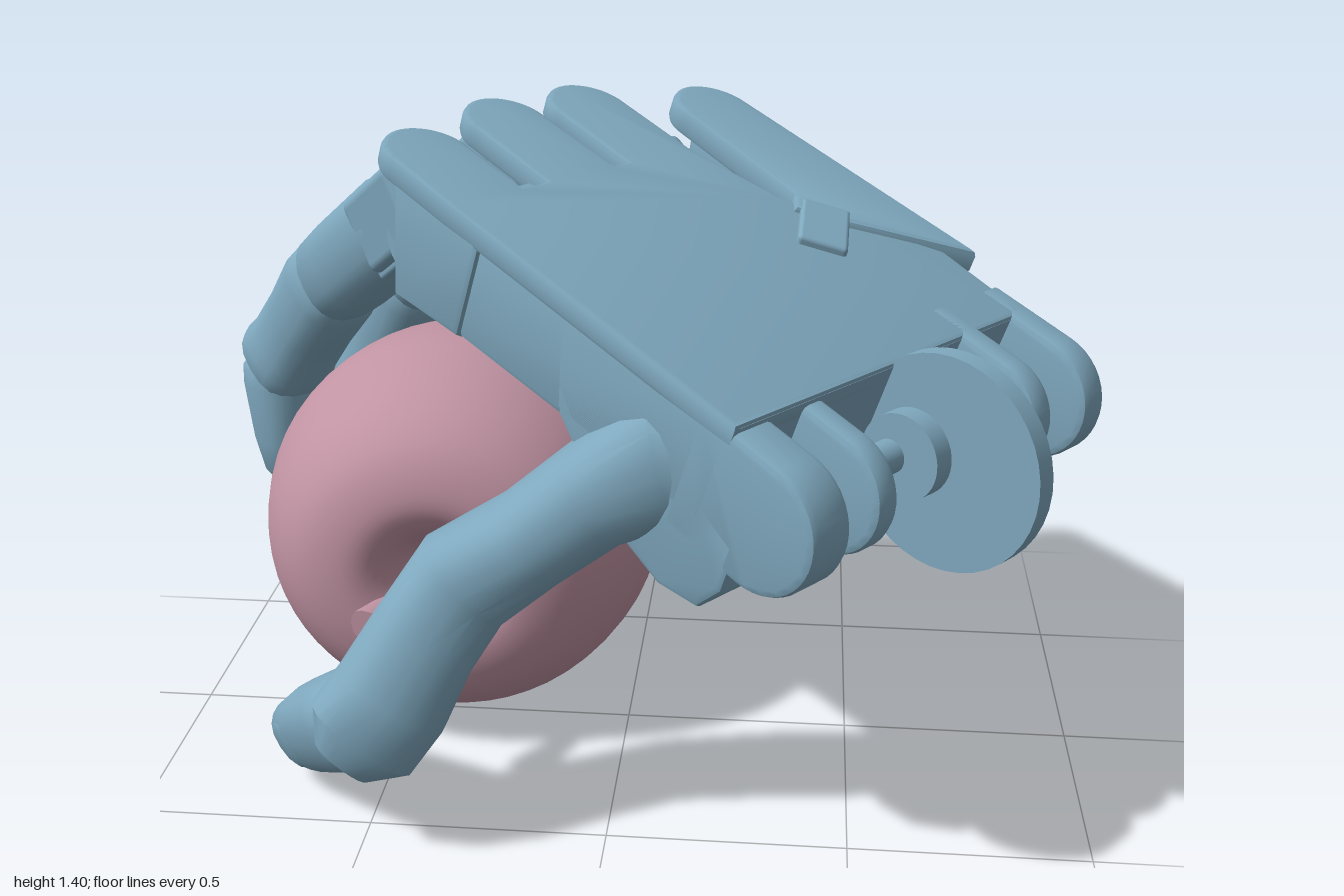
import * as THREE from 'three';
import { toCreasedNormals } from 'three/addons/utils/BufferGeometryUtils.js';
import { RoundedBoxGeometry } from 'three/addons/geometries/RoundedBoxGeometry.js';

const blue = new THREE.MeshStandardMaterial({ color: 0x7fa8be });
const pink = new THREE.MeshStandardMaterial({ color: 0xc093a2 });
const V = (p) => new THREE.Vector3(...p);

function add(parent, name, geo, pos = [0, 0, 0], mat = blue) {
  const mesh = new THREE.Mesh(geo, mat);
  mesh.name = name;
  mesh.position.set(...pos);
  parent.add(mesh);
  return mesh;
}

// Closed skin over boxy-oval rings; each ring is [centre, halfWidth, halfHeight]
function loft(rings, up, n = 20) {
  const pos = [], idx = [], c = rings.map((r) => V(r[0]));
  rings.forEach(([, w, h], i) => {
    const z = c[Math.min(i + 1, c.length - 1)].clone().sub(c[Math.max(i - 1, 0)]).normalize();
    const y = up.clone().addScaledVector(z, -up.dot(z)).normalize();
    const x = y.clone().cross(z);
    for (let j = 0; j < n; j++) {
      const t = (j / n) * Math.PI * 2, co = Math.cos(t), si = Math.sin(t);
      const p = c[i].clone()
        .addScaledVector(x, w * Math.sign(co) * Math.abs(co) ** 0.8)
        .addScaledVector(y, h * Math.sign(si) * Math.abs(si) ** 0.8);
      pos.push(p.x, p.y, p.z);
      if (i < rings.length - 1) {
        const a = i * n + j, b = i * n + (j + 1) % n;
        idx.push(a, b, b + n, a, b + n, a + n);
      }
    }
  });
  const last = (rings.length - 1) * n, s = pos.length / 3;
  pos.push(...c[0].toArray(), ...c[c.length - 1].toArray());
  for (let j = 0; j < n; j++) {
    const k = (j + 1) % n;
    idx.push(s, k, j, s + 1, last + j, last + k);
  }
  const g = new THREE.BufferGeometry();
  g.setAttribute('position', new THREE.Float32BufferAttribute(pos, 3));
  g.setIndex(idx);
  return toCreasedNormals(g, 0.6);
}

// Group at a, with +z running to b and +y on the back of the finger
function boneFrame(parent, name, a, b, up) {
  const z = V(b).sub(V(a)), len = z.length();
  z.normalize();
  const y = up.clone().addScaledVector(z, -up.dot(z)).normalize();
  const g = new THREE.Group();
  g.name = name;
  g.quaternion.setFromRotationMatrix(new THREE.Matrix4().makeBasis(y.clone().cross(z), y, z));
  g.position.copy(V(a));
  parent.add(g);
  return [g, len];
}

// Straight segment; stations are [position along, width factor, height factor]
function segment(g, name, len, w, h, stations) {
  return add(g, name, loft(stations.map(([t, a, b]) => [[0, 0, t * len], w * a, h * b]), new THREE.Vector3(0, 1, 0)));
}

function fingertip(parent, a, b, up, r) {
  const [g, len] = boneFrame(parent, 'fingertip', a, b, up);
  segment(g, 'tipPad', len, r, r, [[-0.08, 0.8, 0.8], [0, 1, 1], [0.15, 1.04, 1.02], [0.6, 0.95, 0.9],
    [0.85, 0.8, 0.74], [0.96, 0.55, 0.5], [1, 0.25, 0.25]]);
  const nail = add(g, 'nail', new THREE.SphereGeometry(1, 16, 8), [0, r * 0.68, len * 0.72]);
  nail.scale.set(r * 0.58, r * 0.16, len * 0.24);
  nail.rotation.x = 0.18;
}

function finger(parent, name, [mcp, pip, dip, tip], r) {
  const hand = new THREE.Group();
  hand.name = name;
  parent.add(hand);
  const up = new THREE.Vector3(-0.65, 0.55, -0.55).normalize(), h = r * 1.12;
  // Proximal segment: forked base with a hinge pin
  const [p, len] = boneFrame(hand, 'proximalSegment', mcp, pip, up);
  segment(p, 'proximalBody', len, r, h, [[0.22, 0.94, 0.94], [0.26, 1, 1], [0.8, 1, 1], [0.95, 0.97, 0.97], [1.03, 0.8, 0.8]]);
  for (const s of [-1, 1]) {
    add(p, 'forkArm', new RoundedBoxGeometry(r * 0.5, r * 1.75, len * 0.46, 3, r * 0.24), [s * r * 0.74, 0, len * 0.13]);
  }
  add(p, 'forkFloor', new RoundedBoxGeometry(r * 1.6, r * 0.8, len * 0.48, 2, r * 0.1), [0, -r * 0.62, len * 0.12]);
  add(p, 'hingePin', new THREE.CylinderGeometry(r * 0.2, r * 0.2, r * 1.6, 12).rotateZ(Math.PI / 2), [0, r * 0.2, len * 0.12]);
  // Middle segment, with a collar at the far joint
  const [m, mlen] = boneFrame(hand, 'middleSegment', pip, dip, up);
  segment(m, 'middleBody', mlen, r, h, [[-0.1, 0.75, 0.75], [0, 0.96, 0.96], [0.1, 1, 1], [0.45, 0.95, 0.94],
    [0.78, 0.96, 0.95], [0.86, 1.04, 1], [0.97, 1.03, 1], [1.05, 0.82, 0.82]]);
  fingertip(hand, dip, tip, up, r * 0.95);
}

// Flat outline (side, forward) laid under the palm's top plane
function slab(shape, top, depth) {
  const b = 0.012;
  return toCreasedNormals(new THREE.ExtrudeGeometry(shape, {
    depth: depth - 2 * b, bevelSize: b, bevelThickness: b, bevelSegments: 2, curveSegments: 14, bevelOffset: -b,
  }).rotateX(-Math.PI / 2).translate(0, top - depth + b, 0), 0.6);
}

// Side profile (forward, height) stretched across the palm from v0 to v1
function profile(points, v0, v1) {
  const shape = new THREE.Shape(points.map(([a, y]) => new THREE.Vector2(a, y)));
  const b = 0.015;
  return toCreasedNormals(new THREE.ExtrudeGeometry(shape, {
    depth: v1 - v0 - 2 * b, bevelSize: b, bevelThickness: b, bevelOffset: -b, bevelSegments: 2,
  }).rotateY(Math.PI / 2).translate(v0 + b, 0, 0), 0.6);
}

function buildPalm(root) {
  const palm = new THREE.Group();
  palm.name = 'palm';
  palm.position.set(0, 1.25, 0);
  palm.rotation.set(0.356, 0.902, 0, 'YXZ');
  root.add(palm);

  // Back plate with a rounded lobe over each knuckle and narrow slots between
  const lobes = [[-0.315, 0.28], [-0.05, 0.33], [0.19, 0.32]], r = 0.1;
  const plate = new THREE.Shape();
  plate.moveTo(0.53, -0.69);
  plate.lineTo(0.55, -0.45);
  plate.lineTo(0.34, -0.14);
  for (const [v, a] of [...lobes].reverse()) {
    plate.lineTo(v + r, 0.1);
    plate.lineTo(v + r, a);
    plate.absarc(v, a, r, 0, Math.PI, false);
    plate.lineTo(v - r, 0.1);
  }
  plate.lineTo(-0.4, -0.69);
  plate.closePath();
  add(palm, 'backPlate', slab(plate, 0, 0.055));

  // Thick body, heel and outer metacarpal
  add(palm, 'palmBody', profile([[0.14, -0.03], [0.14, -0.27], [-0.3, -0.25], [-0.69, -0.24], [-0.69, -0.01]], -0.4, 0.27));
  add(palm, 'heel', profile([[-0.22, -0.03], [-0.28, -0.24], [-0.48, -0.38], [-0.64, -0.42], [-0.74, -0.4],
    [-0.78, -0.33], [-0.78, -0.22], [-0.69, -0.19], [-0.69, -0.01]], -0.4, 0.51));
  add(palm, 'indexCheek', profile([[0.28, -0.02], [0.2, -0.28], [0, -0.26], [0, -0.02]], -0.412, -0.36));
  const outer = new THREE.Shape();
  outer.moveTo(0.6, -0.5);
  outer.lineTo(0.582, 0.2);
  outer.absarc(0.482, 0.2, r, 0, Math.PI, false);
  outer.lineTo(0.36, -0.16);
  outer.lineTo(0.32, -0.2);
  outer.lineTo(0.36, -0.26);
  outer.closePath();
  add(palm, 'outerPlate', slab(outer, 0.015, 0.06));
  add(palm, 'outerMetacarpal', profile([[0.18, -0.02], [0.14, -0.27], [-0.47, -0.27], [-0.47, -0.02]], 0.385, 0.59));
  add(palm, 'jointStrip', new RoundedBoxGeometry(0.11, 0.03, 0.18, 2, 0.01), [0.325, 0.004, 0.28]).rotation.y = -0.902;
  const bulge = add(palm, 'outerJoint', new THREE.CapsuleGeometry(0.12, 0.12, 8, 18), [0.48, -0.16, 0.59]);
  bulge.rotation.x = -0.9;

  // Knuckle barrels under the lobes
  for (const [v, a] of [...lobes, [0.482, 0.2]]) {
    add(palm, 'knuckle', new THREE.CylinderGeometry(0.09, 0.09, 0.14, 20).rotateZ(Math.PI / 2), [v, -0.15, -a + 0.08]);
  }

  // Wrist hinge lugs, shaft and large disc: [side, width, radius, drop]
  for (const [v, w, radius, drop] of [[-0.345, 0.11, 0.135, 0.02], [-0.17, 0.06, 0.125, 0.02], [0.335, 0.065, 0.125, 0], [0.52, 0.075, 0.135, 0]]) {
    const lug = new THREE.Shape();
    lug.moveTo(-0.6, -drop);
    lug.lineTo(-0.8, -drop);
    lug.absarc(-0.8, -radius - drop, radius, Math.PI / 2, Math.PI * 1.5, false);
    lug.lineTo(-0.6, -2 * radius - drop);
    lug.closePath();
    add(palm, 'wristLug', profile(lug.extractPoints(10).shape.slice(0, -1).map((p) => [p.x, p.y]), v - w / 2, v + w / 2));
  }
  const across = (radius, w) => new THREE.CylinderGeometry(radius, radius, w, 40).rotateZ(Math.PI / 2);
  add(palm, 'wristShaft', across(0.035, 0.82), [0.07, -0.15, 0.78]);
  add(palm, 'wristDisc', across(0.222, 0.045), [0.095, -0.125, 0.865]);
  add(palm, 'wristHub', across(0.09, 0.14), [0.095, -0.14, 0.8]);
}

function buildThumb(root) {
  const thumb = new THREE.Group();
  thumb.name = 'thumb';
  root.add(thumb);
  const up = new THREE.Vector3(0, 0, 1);
  add(thumb, 'thumbBody', loft([
    [[0.3, 0.86, 0.49], 0.14, 0.13], [[0.12, 0.86, 0.49], 0.135, 0.13], [[-0.02, 0.77, 0.48], 0.105, 0.125],
    [[-0.15, 0.66, 0.46], 0.1, 0.125], [[-0.29, 0.56, 0.46], 0.115, 0.12], [[-0.37, 0.44, 0.5], 0.115, 0.12],
    [[-0.43, 0.33, 0.53], 0.125, 0.135], [[-0.49, 0.25, 0.56], 0.125, 0.11], [[-0.53, 0.2, 0.575], 0.07, 0.06],
  ], up));
  fingertip(thumb, [-0.5, 0.27, 0.52], [-0.71, 0.08, 0.27], new THREE.Vector3(-0.5, -0.2, 0.6), 0.102);
}

function buildApple(root) {
  const apple = new THREE.Group();
  apple.name = 'apple';
  root.add(apple);
  // Half profile from the base to the stem dimple
  const half = [[0, -0.385], [0.07, -0.41], [0.15, -0.41], [0.25, -0.375], [0.36, -0.29], [0.43, -0.16], [0.458, 0],
    [0.445, 0.13], [0.395, 0.28], [0.31, 0.385], [0.2, 0.425], [0.12, 0.4], [0.05, 0.32], [0, 0.29]];
  const curve = new THREE.SplineCurve(half.map(([x, y]) => new THREE.Vector2(x, y)));
  const pts = curve.getPoints(60).map((p) => new THREE.Vector2(Math.max(p.x, 0), p.y));
  const body = add(apple, 'fruit', new THREE.LatheGeometry(pts, 56).rotateX(Math.PI / 2), [-0.4, 0.437, -0.195], pink);
  body.scale.set(1, 0.952, 1);
  add(apple, 'stem', loft([
    [[-0.41, 0.44, 0.05], 0.022, 0.022], [[-0.41, 0.435, 0.2], 0.022, 0.022], [[-0.44, 0.43, 0.3], 0.024, 0.024],
    [[-0.48, 0.425, 0.37], 0.035, 0.035], [[-0.5, 0.42, 0.42], 0.045, 0.04],
  ], new THREE.Vector3(0, 1, 0), 14), [0, 0, 0], pink);
}

export function createModel() {
  const root = new THREE.Group();
  root.name = 'handHoldingApple';
  buildPalm(root);
  buildThumb(root);
  buildApple(root);
  // Joints of each finger: knuckle, middle joint, end joint, tip
  finger(root, 'indexFinger', [[-0.42, 1.235, 0.04], [-0.71, 0.96, -0.27], [-0.895, 0.69, -0.45], [-0.88, 0.37, -0.45]], 0.1);
  finger(root, 'middleFinger', [[-0.29, 1.255, -0.18], [-0.57, 0.91, -0.48], [-0.725, 0.58, -0.63], [-0.69, 0.27, -0.62]], 0.097);
  finger(root, 'ringFinger', [[-0.12, 1.25, -0.37], [-0.36, 0.87, -0.61], [-0.49, 0.5, -0.72], [-0.47, 0.2, -0.715]], 0.093);
  finger(root, 'littleFinger', [[0.11, 1.18, -0.51], [-0.15, 0.82, -0.63], [-0.32, 0.44, -0.725], [-0.33, 0.13, -0.735]], 0.087);
  return root;
}
